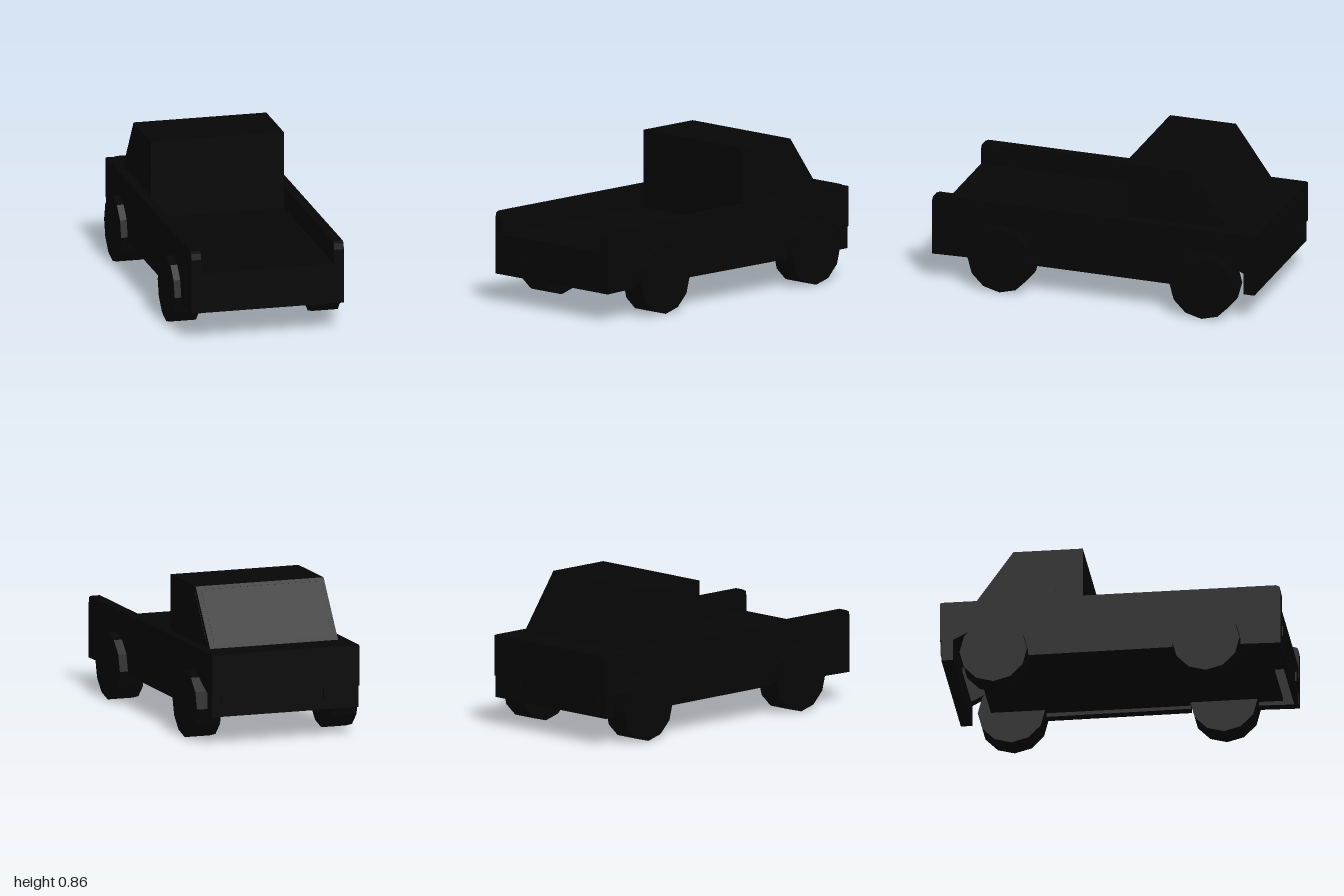
import * as THREE from 'three';

const paint = new THREE.MeshStandardMaterial({ color: 0x060606, flatShading: true, side: THREE.DoubleSide });

const MID = -0.005; // centre line of the bodywork
const REAR_AXLE = 0.56, FRONT_AXLE = -0.68, AXLE_Y = 0.2;

export function createModel() {
  const truck = new THREE.Group();
  truck.name = 'pickupTruck';

  const add = (name, geometry) => {
    const mesh = new THREE.Mesh(geometry, paint);
    mesh.name = name;
    truck.add(mesh);
    return mesh;
  };

  // box given by its limits on each axis
  const block = (name, [x0, x1], [y0, y1], [z0, z1]) =>
    add(name, new THREE.BoxGeometry(x1 - x0, y1 - y0, z1 - z0))
      .position.set((x0 + x1) / 2, (y0 + y1) / 2, (z0 + z1) / 2);

  // outline in (z, y), extruded across x from x0 to x1
  const profile = (name, points, x0, x1) => {
    const shape = new THREE.Shape(points.map(([z, y]) => new THREE.Vector2(z, y)));
    const geometry = new THREE.ExtrudeGeometry(shape, { depth: x1 - x0, bevelEnabled: false });
    geometry.rotateY(-Math.PI / 2);
    add(name, geometry).position.x = x1;
  };

  // faceted wheel arch, from angle a to angle b in degrees
  const arch = (axle, a, b) => {
    const points = [];
    for (let d = a; d <= b; d += 30) {
      const t = THREE.MathUtils.degToRad(d);
      points.push([axle + 0.199 * Math.cos(t), AXLE_Y + 0.199 * Math.sin(t)]);
    }
    return points;
  };

  // side walls with both arches cut out
  const wall = [
    [0.965, 0.535], [0.985, 0.525], [0.992, 0.49], [0.992, 0.167], [REAR_AXLE + 0.199, 0.172],
    ...arch(REAR_AXLE, 0, 180), [REAR_AXLE - 0.199, 0.175],
    [FRONT_AXLE + 0.199, 0.172], ...arch(FRONT_AXLE, 0, 120),
    [-0.83, 0.34], [-0.92, 0.295], [-0.997, 0.295], [-0.997, 0.53], [-0.985, 0.535],
  ];
  profile('leftSideWall', wall, MID + 0.397, MID + 0.456);
  profile('rightSideWall', wall, MID - 0.456, MID - 0.397);

  // load bed, tail panel, hood, nose and bumper
  const inner = [MID - 0.397, MID + 0.397];
  const full = [MID - 0.456, MID + 0.456];
  block('bedFloor', inner, [0.397, 0.405], [-0.17, 0.985]);
  block('tailPanel', inner, [0.167, 0.405], [0.965, 0.99]);
  block('hood', inner, [0.515, 0.535], [-0.99, -0.8]);
  block('nosePanel', inner, [0.295, 0.535], [-0.997, -0.97]);
  block('frontBumper', full, [0.167, 0.295], [-0.988, -0.92]);

  // flat underbody, open just ahead of the front wheels and behind the bed
  block('underbody', inner, [0.195, 0.21], [-0.8, 0.9]);

  // cab: outline runs down to the bed floor at the back
  profile('cab', [
    [-0.17, 0.405], [-0.17, 0.862], [-0.575, 0.862], [-0.81, 0.533], [-0.81, 0.515], [-0.5, 0.405],
  ], inner[0], inner[1]);

  // windows, barely proud of the cab
  block('rearWindow', [-0.215, 0.21], [0.63, 0.775], [-0.171, -0.168]);
  const sideWindow = [[-0.3, 0.835], [-0.565, 0.835], [-0.755, 0.56], [-0.335, 0.56]];
  profile('leftWindow', sideWindow, inner[1] - 0.001, inner[1] + 0.001);
  profile('rightWindow', sideWindow, inner[0] - 0.001, inner[0] + 0.001);
  profile('windshield', [
    [-0.587, 0.844], [-0.590, 0.844], [-0.795, 0.556], [-0.792, 0.556],
  ], MID - 0.365, MID + 0.365);

  // lamps at both ends, and wheels
  for (const side of [1, -1]) {
    const label = side > 0 ? 'left' : 'right';
    const lampX = side > 0 ? [MID + 0.235, MID + 0.397] : [MID - 0.397, MID - 0.235];
    block(label + 'TailLamp', lampX, [0.24, 0.3], [0.98, 0.999]);
    block(label + 'FrontLamp', lampX, [0.23, 0.3], [-1, -0.975]);

    for (const [end, z] of [['Rear', REAR_AXLE], ['Front', FRONT_AXLE]]) {
      const wheel = new THREE.CylinderGeometry(0.197, 0.197, 0.153, 12);
      wheel.rotateZ(Math.PI / 2);
      add(label + end + 'Wheel', wheel).position.set(side * 0.4235, 0.197, z);
    }
  }
  return truck;
}
